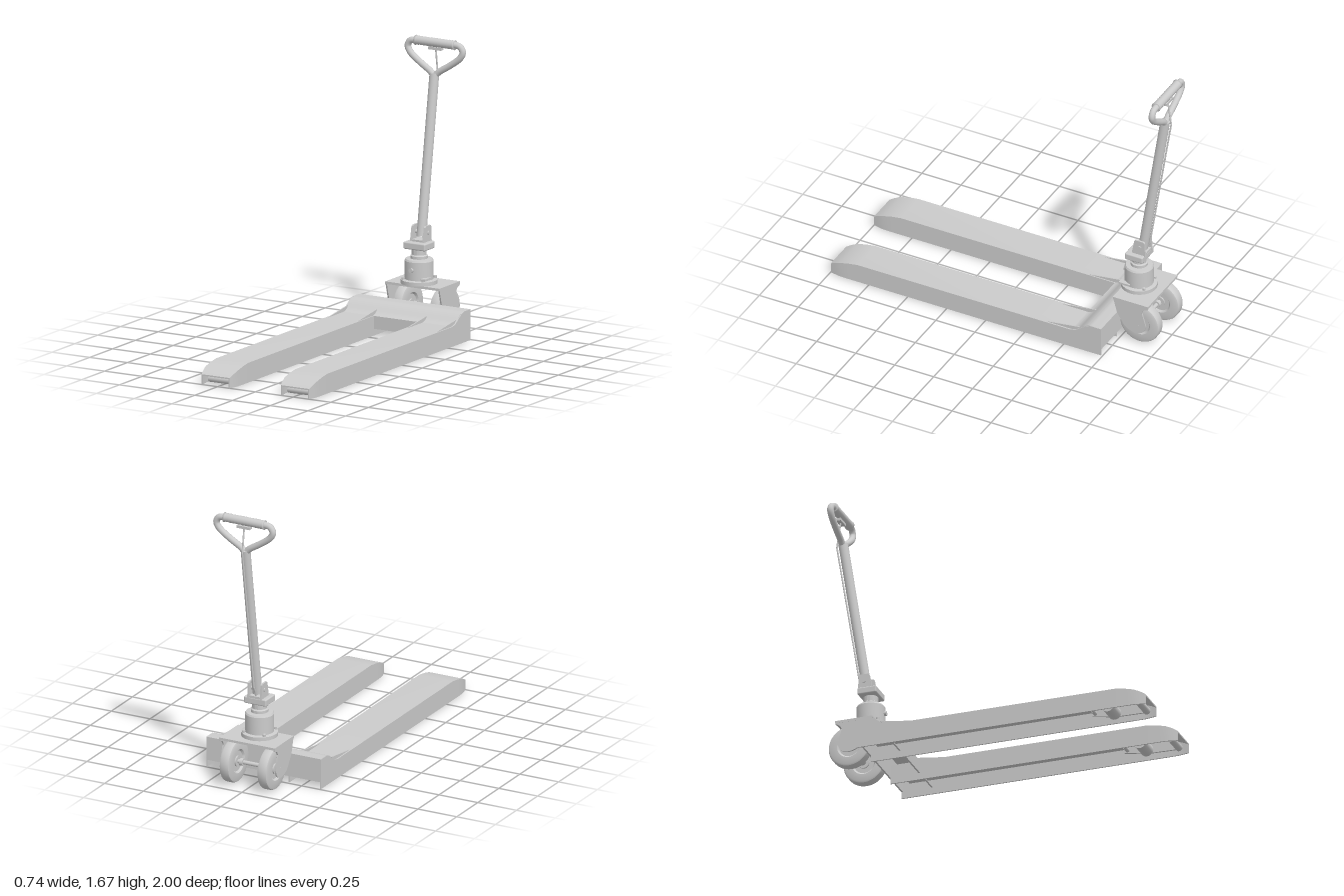
import * as THREE from 'three';
import { mergeVertices, toCreasedNormals } from 'three/addons/utils/BufferGeometryUtils.js';
import { RoundedBoxGeometry } from 'three/addons/geometries/RoundedBoxGeometry.js';

const mat = new THREE.MeshStandardMaterial({ color: 0xcccccc, side: THREE.DoubleSide });
const V = (x, y, z) => new THREE.Vector3(x, y, z);

export function createModel() {
  const root = new THREE.Group();

  function add(name, geo, x = 0, y = 0, z = 0, parent = root) {
    const m = new THREE.Mesh(geo, mat);
    m.name = name;
    m.position.set(x, y, z);
    parent.add(m);
    return m;
  }
  const box = (name, w, h, d, x, y, z) => add(name, new THREE.BoxGeometry(w, h, d), x, y, z);
  // Cylinder lying along x
  const roller = (name, r, len, x, y, z, seg = 24) =>
    add(name, new THREE.CylinderGeometry(r, r, len, seg).rotateZ(Math.PI / 2), x, y, z);
  // Straight bar between two points
  function bar(name, a, b, r, seg = 24) {
    const m = add(name, new THREE.CylinderGeometry(r, r, a.distanceTo(b), seg));
    m.position.copy(a).add(b).multiplyScalar(0.5);
    m.quaternion.setFromUnitVectors(V(0, 1, 0), b.clone().sub(a).normalize());
    return m;
  }
  // Outline in (z, y), extruded along x and centred on x
  function plate(name, shape, width, x) {
    if (Array.isArray(shape)) shape = new THREE.Shape(shape.map(p => new THREE.Vector2(...p)));
    const g = new THREE.ExtrudeGeometry(shape, { depth: width, bevelEnabled: false, curveSegments: 10 });
    g.rotateY(-Math.PI / 2).translate(width / 2, 0, 0);
    return add(name, toCreasedNormals(g, 0.6), x, 0, 0);
  }
  // Skin joining equal-length rings of points, with flat ends left to the rings' wall thickness
  function loft(rings) {
    const pos = [], n = rings[0].length;
    const tri = (...ps) => ps.forEach(p => pos.push(...p));
    for (let i = 0; i < rings.length - 1; i++) {
      for (let j = 0; j < n; j++) {
        const k = (j + 1) % n, a = rings[i], b = rings[i + 1];
        tri(a[j], a[k], b[k]);
        tri(a[j], b[k], b[j]);
      }
    }
    // Channel ends: three strips between outer points 0-3 and inner points 7-4
    for (const [r, flip] of [[rings[0], true], [rings.at(-1), false]]) {
      for (let j = 0; j < 3; j++) {
        const q = [r[j], r[j + 1], r[6 - j], r[7 - j]];
        if (flip) q.reverse();
        tri(q[0], q[1], q[2]);
        tri(q[0], q[2], q[3]);
      }
    }
    const g = new THREE.BufferGeometry();
    g.setAttribute('position', new THREE.Float32BufferAttribute(pos, 3));
    return toCreasedNormals(mergeVertices(g), 0.4);
  }

  // Forks: open-bottomed channels with a drooping, tapered tip
  const stations = [ // z, height, inner x, outer x
    [-0.73, 0.115, 0.155, 0.37], [0.82, 0.115, 0.155, 0.37], [0.88, 0.106, 0.155, 0.37],
    [0.935, 0.092, 0.156, 0.369], [0.97, 0.077, 0.162, 0.363], [1, 0.06, 0.17, 0.356]];
  const t = 0.008;
  for (const s of [1, -1]) {
    const side = s > 0 ? 'left' : 'right';
    const fork = loft(stations.map(([z, h, a, b]) => {
      const [lo, hi] = s > 0 ? [a, b] : [-b, -a];
      return [[hi, 0, z], [hi, h, z], [lo, h, z], [lo, 0, z],
        [lo + t, 0, z], [lo + t, h - t, z], [hi - t, h - t, z], [hi - t, 0, z]];
    }));
    add(side + 'Fork', fork);

    // Load rollers, their links and the push rod under each fork
    const cx = s * 0.2625;
    roller(side + 'EntryRoller', 0.021, 0.14, cx, 0.031, 0.95);
    roller(side + 'LoadRoller', 0.038, 0.12, cx, 0.042, 0.76);
    roller(side + 'RollerAxle', 0.01, 0.2, cx, 0.042, 0.76, 12);
    for (const d of [-0.07, 0.07]) {
      plate(side + 'RollerLink', [[0.62, 0.05], [0.76, 0.025], [0.96, 0.022], [0.96, 0.042], [0.76, 0.065], [0.62, 0.075]], 0.01, cx + d);
    }
    roller(side + 'LinkPivot', 0.012, 0.16, cx, 0.062, 0.64, 12);
    box(side + 'PushRod', 0.035, 0.03, 1.3, cx, 0.06, -0.01);

    // Gussets between forks and the cross head
    for (const x of [0.165, 0.358]) {
      plate(side + 'Gusset', [[-0.36, 0.112], [-0.57, 0.112], [-0.6, 0.145], [-0.57, 0.14]], 0.007, s * x);
    }

    // End plate of the cross head
    plate(side + 'HeadEndPlate', [[-0.54, 0], [-0.54, 0.115], [-0.575, 0.122], [-0.64, 0.167], [-0.67, 0.18], [-0.74, 0.18], [-0.74, 0]], t, s * 0.366);
  }

  // Cross head: curved top sheet, rear wall and front lip
  const head = new THREE.Shape();
  head.moveTo(-0.55, 0.04);
  head.lineTo(-0.55, 0.115);
  head.quadraticCurveTo(-0.575, 0.118, -0.6, 0.14);
  head.quadraticCurveTo(-0.645, 0.18, -0.68, 0.18);
  for (const p of [[-0.74, 0.18], [-0.74, 0.04], [-0.73, 0.04], [-0.73, 0.17], [-0.68, 0.17]]) head.lineTo(...p);
  head.quadraticCurveTo(-0.645, 0.17, -0.607, 0.135);
  head.quadraticCurveTo(-0.58, 0.108, -0.56, 0.107);
  head.lineTo(-0.56, 0.04);
  plate('crossHead', head, 0.73, 0);

  // Steering bracket
  box('bracketTop', 0.36, 0.014, 0.225, 0, 0.273, -0.8275);
  const cheek = new THREE.Shape();
  cheek.moveTo(-0.715, 0.28);
  cheek.lineTo(-0.94, 0.28);
  cheek.lineTo(-0.938, 0.258);
  cheek.quadraticCurveTo(-0.91, 0.255, -0.9, 0.225);
  cheek.lineTo(-0.925, 0.14);
  cheek.quadraticCurveTo(-0.92, 0.085, -0.868, 0.078);
  cheek.quadraticCurveTo(-0.8, 0.08, -0.775, 0.13);
  cheek.lineTo(-0.742, 0.18);
  for (const s of [1, -1]) plate('bracketCheek', cheek, 0.009, s * 0.175);

  // Steering wheels with rounded treads, hubs and axle
  const wheelProfile = [[0.02, -0.02], [0.06, -0.02], [0.07, -0.031], [0.112, -0.031], [0.121, -0.027], [0.125, -0.018],
    [0.125, 0.018], [0.121, 0.027], [0.112, 0.031], [0.07, 0.031], [0.06, 0.02], [0.02, 0.02]];
  const wheel = toCreasedNormals(new THREE.LatheGeometry(wheelProfile.map(p => new THREE.Vector2(...p)), 48).rotateZ(Math.PI / 2), 0.6);
  for (const s of [1, -1]) {
    add('steeringWheel', wheel, s * 0.122, 0.127, -0.868);
    roller('wheelHub', 0.032, 0.056, s * 0.122, 0.127, -0.868);
    roller('axleCollar', 0.022, 0.02, s * 0.07, 0.127, -0.868);
  }
  roller('axle', 0.012, 0.36, 0, 0.127, -0.868, 16);

  // Hydraulic pump: flange, body, neck
  const pumpZ = -0.79;
  const pump = [[0, 0.28], [0.105, 0.28], [0.105, 0.302], [0.083, 0.306], [0.083, 0.412], [0.077, 0.422], [0.05, 0.424],
    [0.05, 0.44], [0.042, 0.446], [0.042, 0.485], [0, 0.485]];
  add('pump', toCreasedNormals(new THREE.LatheGeometry(pump.map(p => new THREE.Vector2(...p)), 40), 0.5), 0, 0, pumpZ);
  add('pumpPlug', new THREE.CylinderGeometry(0.013, 0.013, 0.02, 16).rotateX(Math.PI / 2), 0, 0.367, pumpZ + 0.085);
  for (let i = 0; i < 4; i++) {
    const a = Math.PI / 4 + i * Math.PI / 2;
    add('flangeBolt', new THREE.CylinderGeometry(0.01, 0.01, 0.016, 6), 0.094 * Math.cos(a), 0.309, pumpZ + 0.094 * Math.sin(a));
  }
  box('releasePedal', 0.03, 0.012, 0.07, 0.075, 0.318, pumpZ + 0.05);

  // Handle yoke
  add('yokeBlock', new RoundedBoxGeometry(0.144, 0.042, 0.115, 3, 0.008), 0, 0.5, pumpZ);
  box('yokeBase', 0.09, 0.014, 0.08, 0, 0.525, -0.808);
  for (const s of [1, -1]) {
    plate('yokeEar', [[-0.765, 0.515], [-0.782, 0.605], [-0.79, 0.612], [-0.838, 0.612], [-0.846, 0.605], [-0.852, 0.515]], 0.011, s * 0.041);
  }
  roller('yokePin', 0.012, 0.104, 0, 0.57, -0.816, 16);

  // Drawbar
  bar('drawbar', V(0, 0.545, -0.815), V(0, 1.465, -0.957), 0.028, 32);

  // Handle loop: rounded triangle meeting at the drawbar
  const half = [[0.035, 1.48, -0.959], [0.1, 1.52, -0.962], [0.165, 1.57, -0.965], [0.182, 1.605, -0.967], [0.165, 1.635, -0.967], [0.125, 1.642, -0.967]];
  const path = [V(0, 1.455, -0.957), ...half.map(p => V(...p)),
    ...half.slice().reverse().map(([x, y, z]) => V(-x, y, z))];
  add('handleLoop', new THREE.TubeGeometry(new THREE.CatmullRomCurve3(path, true, 'centripetal'), 120, 0.019, 14, true));

  // Ribbed grip
  const ribs = [new THREE.Vector2(0.018, -0.13)];
  for (let i = 0; i <= 26; i++) ribs.push(new THREE.Vector2(i === 0 || i === 26 ? 0.029 : i % 2 ? 0.0245 : 0.0265, -0.13 + i * 0.01));
  ribs.push(new THREE.Vector2(0.018, 0.13));
  add('grip', new THREE.LatheGeometry(ribs, 24).rotateZ(Math.PI / 2), 0, 1.642, -0.967);

  // Release lever and its cable
  box('releaseLever', 0.085, 0.016, 0.03, 0, 1.608, -0.972);
  bar('leverRod', V(0, 1.61, -0.972), V(0, 1.45, -0.995), 0.005, 10);
  bar('releaseCable', V(0, 1.452, -0.995), V(0, 0.59, -0.858), 0.005, 10);
  bar('cableFoot', V(0, 0.592, -0.858), V(0, 0.53, -0.83), 0.005, 10);

  return root;
}
